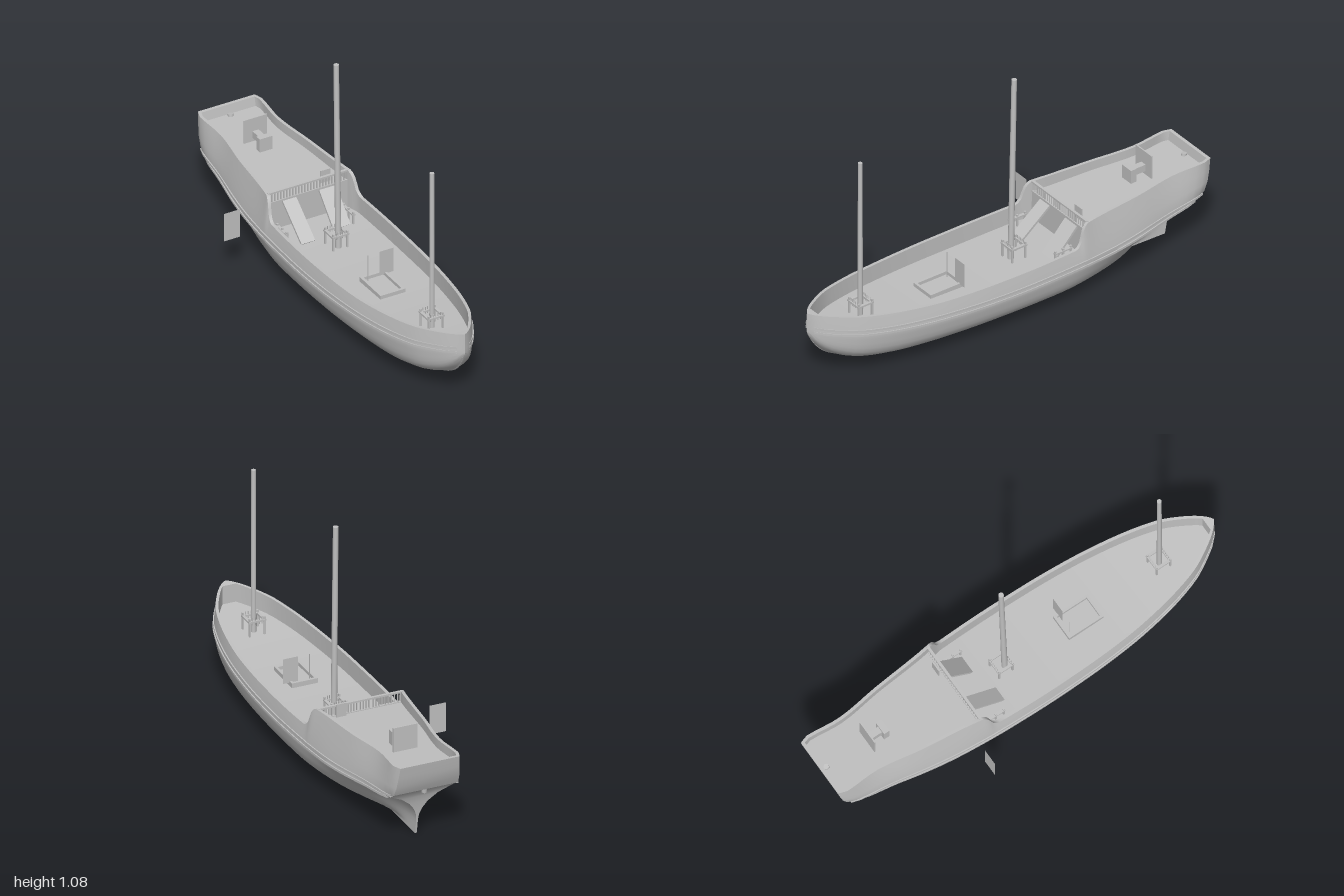
import * as THREE from 'three';
import { toCreasedNormals } from 'three/addons/utils/BufferGeometryUtils.js';

const CX = 0.0635; // ship centreline

// Smooth monotone interpolation through [z, value] pairs with falling z
function curve(pts) {
  const n = pts.length;
  const d = (i) => (pts[i + 1][1] - pts[i][1]) / (pts[i + 1][0] - pts[i][0]);
  const slope = (i) => {
    if (i === 0) return d(0);
    if (i === n - 1) return d(n - 2);
    const a = d(i - 1), b = d(i);
    return a * b <= 0 ? 0 : (2 * a * b) / (a + b);
  };
  return (z) => {
    if (z >= pts[0][0]) return pts[0][1];
    if (z <= pts[n - 1][0]) return pts[n - 1][1];
    let i = 0;
    while (z < pts[i + 1][0]) i++;
    const h = pts[i + 1][0] - pts[i][0], t = (z - pts[i][0]) / h;
    const t2 = t * t, t3 = t2 * t;
    return (2 * t3 - 3 * t2 + 1) * pts[i][1] + (t3 - 2 * t2 + t) * h * slope(i)
      + (3 * t2 - 2 * t3) * pts[i + 1][1] + (t3 - t2) * h * slope(i + 1);
  };
}

// Hull lines along the length
const beam = curve([[1, 0.006], [0.97, 0.045], [0.9, 0.096], [0.8, 0.148], [0.6, 0.2], [0.4, 0.227],
  [0.2, 0.238], [0, 0.241], [-0.2, 0.238], [-0.4, 0.227], [-0.6, 0.206], [-0.8, 0.181], [-0.96, 0.163], [-1, 0.15]]);
const railBeam = curve([[1, 0.004], [0.97, 0.038], [0.9, 0.088], [0.8, 0.138], [0.6, 0.187], [0.4, 0.213],
  [0.2, 0.224], [0, 0.227], [-0.24, 0.221], [-0.32, 0.201], [-0.6, 0.169], [-0.82, 0.141], [-0.96, 0.15], [-1, 0.136]]);
const railY = curve([[1, 0.33], [0.7, 0.297], [0.4, 0.277], [0, 0.271], [-0.235, 0.273], [-0.262, 0.29],
  [-0.285, 0.35], [-0.31, 0.374], [-0.6, 0.379], [-1, 0.394]]);
const waleY = curve([[1, 0.245], [0.8, 0.222], [0.5, 0.203], [0, 0.187], [-0.4, 0.19], [-0.7, 0.206], [-1, 0.226]]);
const keelY = curve([[1, 0.235], [0.98, 0.19], [0.95, 0.145], [0.9, 0.1], [0.8, 0.053], [0.7, 0.034],
  [0.6, 0.026], [-1, 0]]);
const mainDeckY = curve([[1, 0.245], [0.7, 0.217], [0.4, 0.198], [0, 0.19], [-0.31, 0.195]]);
const quarterDeckY = curve([[-0.31, 0.325], [-1, 0.352]]);
const sternZ = curve([[0.4, 1], [0.3, 0.98], [0.24, 0.95], [0.222, 0.91], [0, 0.86]]);
const bilge = curve([[1, 1], [0.7, 0.95], [0.5, 0.9], [0.33, 0.8], [0.2, 0.62], [0.1, 0.36], [0.04, 0.1], [0, 0.02]]);

// Rakes the sternpost and transom
const rake = (u, y) => u + (1 - sternZ(y)) * THREE.MathUtils.smoothstep(-u, 0.5, 1);

// One side of a cross-section, from keel up over the rail to the deck centre
const LEVELS = [0, 0.03, 0.07, 0.12, 0.2, 0.3, 0.42, 0.56, 0.7, 0.85, 1];
function halfSection(u, deckY) {
  const k = keelY(u), w = waleY(u), b = beam(u), r = railBeam(u), ry = railY(u);
  const tuck = THREE.MathUtils.smoothstep(-u, 0.15, 1.02);
  const pts = LEVELS.map((s) => {
    const f = THREE.MathUtils.lerp(bilge(s), s ** (1 + 2.6 * tuck ** 3), tuck);
    return [Math.max(b * f, 0.004), k + (w - k) * s];
  });
  for (const t of [0.15, 0.4, 0.7, 1]) pts.push([b + (r - b) * t ** 1.2, w + (ry - w) * t]);
  const inner = Math.max(r - 0.014, 0.001);
  pts.push([inner, ry], [inner, Math.min(deckY, ry)], [0, Math.min(deckY, ry)]);
  return pts;
}

// Skins a list of closed rings, running from bow to stern
function loft(rings, capRows = 0) {
  const n = rings[0].length, pos = rings.flat(2), idx = [];
  for (let i = 0; i < rings.length - 1; i++) {
    for (let j = 0; j < n; j++) {
      const a = i * n + j, b = i * n + (j + 1) % n;
      idx.push(a, a + n, b, b, a + n, b + n);
    }
  }
  const last = (rings.length - 1) * n;
  for (let j = 0; j < capRows; j++) {
    const p = last + j, q = last + n - 1 - j;
    idx.push(p, q, q - 1, p, q - 1, p + 1);
  }
  const g = new THREE.BufferGeometry();
  g.setAttribute('position', new THREE.Float32BufferAttribute(pos, 3));
  g.setIndex(idx);
  return toCreasedNormals(g, 0.6);
}

export function createModel() {
  const ship = new THREE.Group();
  ship.name = 'sailingShip';
  const grey = new THREE.MeshStandardMaterial({ color: 0xc0c0c0, side: THREE.DoubleSide });
  grey.name = 'plainGrey';

  const add = (name, geo, x = 0, y = 0, z = 0, parent = ship) => {
    const m = new THREE.Mesh(geo, grey);
    m.name = name;
    m.position.set(x, y, z);
    parent.add(m);
    return m;
  };
  // Box given by its lowest and highest corners
  const box = (name, x0, x1, y0, y1, z0, z1, parent = ship) =>
    add(name, new THREE.BoxGeometry(x1 - x0, y1 - y0, z1 - z0), (x0 + x1) / 2, (y0 + y1) / 2, (z0 + z1) / 2, parent);

  // Hull, bulwarks and decks; doubled stations form the stem block, deck break and taffrail
  const bowZ = (i) => 1 - 0.3 * (i / 12) ** 1.5;
  const stations = [];
  for (let i = 0; i < 3; i++) stations.push([bowZ(i), railY]);
  stations.push([0.963, railY]);
  for (let i = 3; i <= 12; i++) stations.push([bowZ(i), mainDeckY]);
  for (let z = 0.65; z > -0.22; z -= 0.05) stations.push([z, mainDeckY]);
  for (const z of [-0.235, -0.25, -0.265, -0.275, -0.285, -0.297, -0.31]) stations.push([z, mainDeckY]);
  stations.push([-0.3105, quarterDeckY]);
  for (let z = -0.36; z > -0.97; z -= 0.04) stations.push([z, quarterDeckY]);
  stations.push([-0.985, quarterDeckY], [-0.9855, railY], [-1, railY]);
  const rings = stations.map(([u, deck]) => {
    const width = u === 1 ? 0 : 1; // the stem closes to an edge
    const half = halfSection(u, deck(u));
    const other = half.map(([x, y]) => [-x, y]).reverse();
    return [...half, ...other].map(([x, y]) => [CX + x * width, y, rake(u, y)]);
  });
  add('hull', loft(rings, LEVELS.length + 3));

  // Two rubbing strakes along each side
  for (const side of [1, -1]) {
    for (const lift of [0, 0.02]) {
      const strip = [];
      for (let i = 0; i <= 48; i++) {
        const u = 0.985 - 1.975 * (i / 48);
        const y = waleY(u) + lift;
        const t = lift / (railY(u) - waleY(u));
        const x = beam(u) + (railBeam(u) - beam(u)) * t ** 1.2;
        const ring = [[-0.006, -0.005], [0.0045, -0.005], [0.0045, 0.005], [-0.006, 0.005]]
          .map(([dx, dy]) => [CX + side * (x + dx), y + dy, rake(u, y)]);
        strip.push(side > 0 ? ring : ring.reverse());
      }
      add('rubbingStrake', loft(strip));
    }
  }

  // Masts, each inside a square pin rail
  const mast = (name, z, topZ, top, r) => {
    const base = mainDeckY(z) - 0.01, h = top - base;
    const m = add(name, new THREE.CylinderGeometry(r * 0.87, r, h, 16), CX, (base + top) / 2, (z + topZ) / 2);
    m.rotation.x = Math.atan2(topZ - z, h);
  };
  mast('foreMast', 0.724, 0.724, 0.975, 0.0115);
  mast('mainMast', -0.06, -0.078, 1.077, 0.0135);
  const pinRail = (z) => {
    const g = new THREE.Group();
    g.name = 'pinRail';
    g.position.set(CX, mainDeckY(z), z);
    ship.add(g);
    for (const a of [-1, 1]) {
      for (const b of [-1, 1]) box('post', a * 0.034 - 0.004, a * 0.034 + 0.004, -0.01, 0.08, b * 0.034 - 0.004, b * 0.034 + 0.004, g);
      box('crossRail', -0.04, 0.04, 0.06, 0.068, a * 0.034 - 0.006, a * 0.034 + 0.006, g);
      box('sideRail', a * 0.034 - 0.006, a * 0.034 + 0.006, 0.06, 0.068, -0.034, 0.034, g);
      for (let i = -2; i <= 2; i++) add('pin', new THREE.CylinderGeometry(0.002, 0.002, 0.034, 6), i * 0.011, 0.066, a * 0.034, g);
    }
  };
  pinRail(0.722);
  pinRail(-0.077);

  // Cargo hatch: raised coaming, cover, pole and upright panel
  for (const x of [0.002, 0.11]) box('hatchSide', x, x + 0.012, 0.185, 0.215, 0.225, 0.4);
  for (const z of [0.225, 0.388]) box('hatchEnd', 0.014, 0.11, 0.185, 0.215, z, z + 0.012);
  box('hatchCover', 0.014, 0.11, 0.187, 0.2, 0.237, 0.388);
  add('hatchPole', new THREE.CylinderGeometry(0.002, 0.002, 0.13, 6), 0.03, 0.26, 0.247);
  add('hatchPanel', new THREE.PlaneGeometry(0.068, 0.115), 0.119, 0.267, 0.247);

  // Balustrade across the quarterdeck break
  box('balustradeRail', -0.131, 0.258, 0.368, 0.376, -0.322, -0.31);
  box('balustradeFoot', -0.131, 0.258, 0.322, 0.329, -0.322, -0.31);
  for (let i = 0; i <= 26; i++) {
    add('baluster', new THREE.CylinderGeometry(0.003, 0.003, 0.045, 6), -0.1245 + i * 0.01446, 0.348, -0.316);
  }

  // Two sloping ladders down to the main deck
  const ladder = (x0, x1, foot) => {
    const run = foot + 0.31, drop = 0.128;
    const s = add('deckLadder', new THREE.BoxGeometry(x1 - x0, 0.01, Math.hypot(run, drop)), (x0 + x1) / 2, 0.255, (foot - 0.31) / 2);
    s.rotation.x = Math.atan2(drop, run);
  };
  ladder(-0.063, 0.003, -0.15);
  ladder(0.113, 0.195, -0.19);

  // Small racks beside the ladders
  for (const x of [-0.112, 0.208]) {
    box('sideRack', x - 0.007, x + 0.007, 0.235, 0.241, -0.27, -0.18);
    for (const z of [-0.265, -0.225, -0.185]) box('sideRackPost', x - 0.004, x + 0.004, 0.19, 0.25, z - 0.004, z + 0.004);
  }

  // Steering stand on the quarterdeck
  add('wheelPanel', new THREE.BoxGeometry(0.112, 0.114, 0.006), 0.063, 0.398, -0.755);
  box('wheelShaft', 0.048, 0.078, 0.36, 0.392, -0.752, -0.69);
  box('binnacle', 0.032, 0.094, 0.335, 0.403, -0.692, -0.664);
  box('smallPanel', 0.138, 0.186, 0.33, 0.39, -0.343, -0.338);

  // Free-standing side panel
  add('sidePanel', new THREE.PlaneGeometry(0.076, 0.135), -0.273, 0.237, -0.365);

  // Rudder trunk through the stern
  const trunk = add('rudderTrunk', new THREE.CylinderGeometry(0.012, 0.012, 0.13, 14), CX, 0.296, -0.953);
  trunk.rotation.x = -0.17;
  return ship;
}
